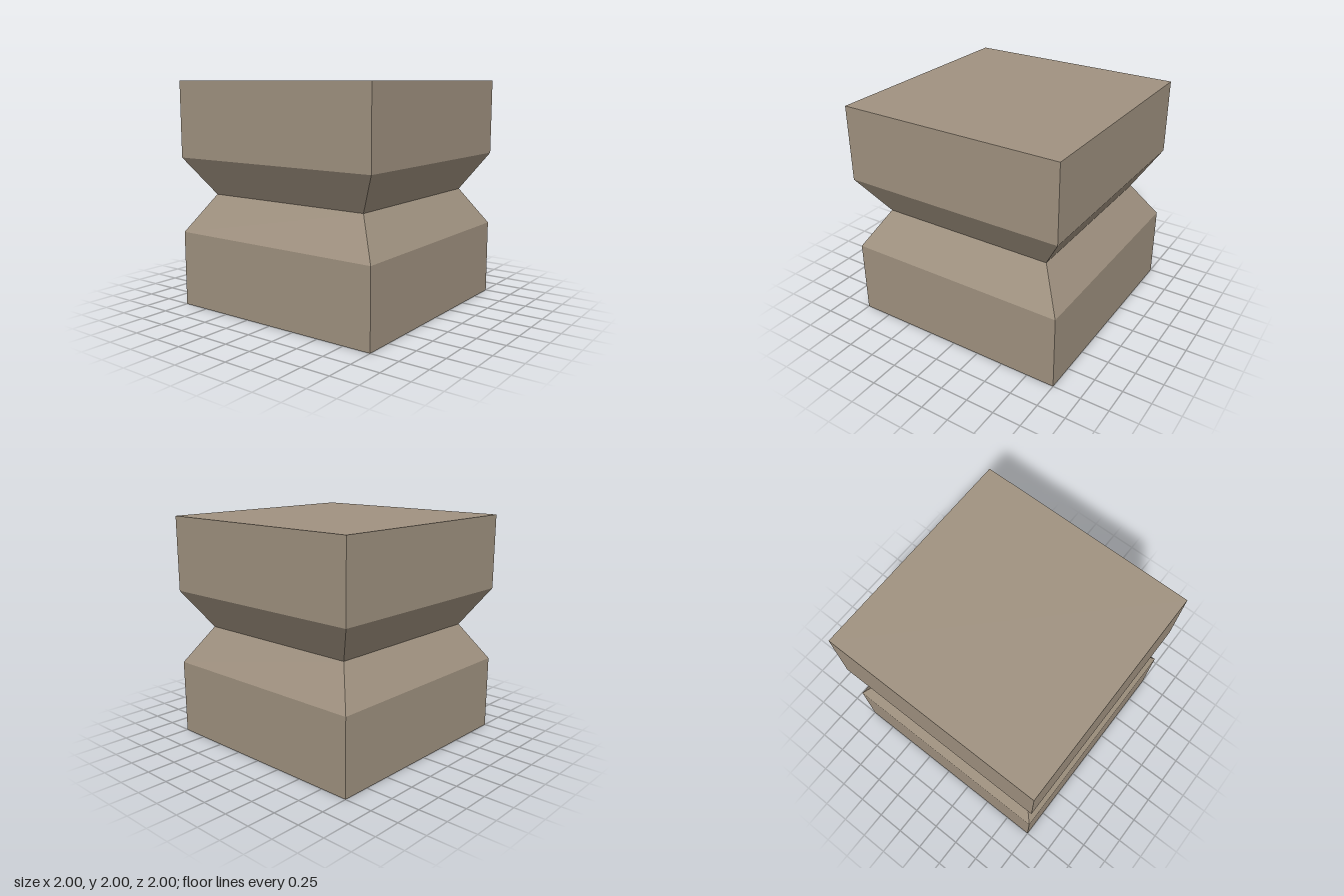
import * as THREE from 'three';

export function createModel() {
  const group = new THREE.Group();
  group.name = 'notchedBlock';

  const stone = new THREE.MeshStandardMaterial({ color: 0xa09280 });
  stone.name = 'warm stone';

  // Cube with six rows; the middle ring is pulled in to form the waist
  const box = new THREE.BoxGeometry(2, 2, 2, 1, 6, 1);
  const pos = box.attributes.position;
  const waist = 0.79;
  for (let i = 0; i < pos.count; i++) {
    if (Math.abs(pos.getY(i)) < 0.01) {
      pos.setX(i, pos.getX(i) * waist);
      pos.setZ(i, pos.getZ(i) * waist);
    }
  }

  // Separate the faces so every edge stays crisp
  const geometry = box.toNonIndexed();
  geometry.computeVertexNormals();
  geometry.translate(0, 1, 0);

  const block = new THREE.Mesh(geometry, stone);
  block.name = 'waistedBlock';
  group.add(block);
  return group;
}
